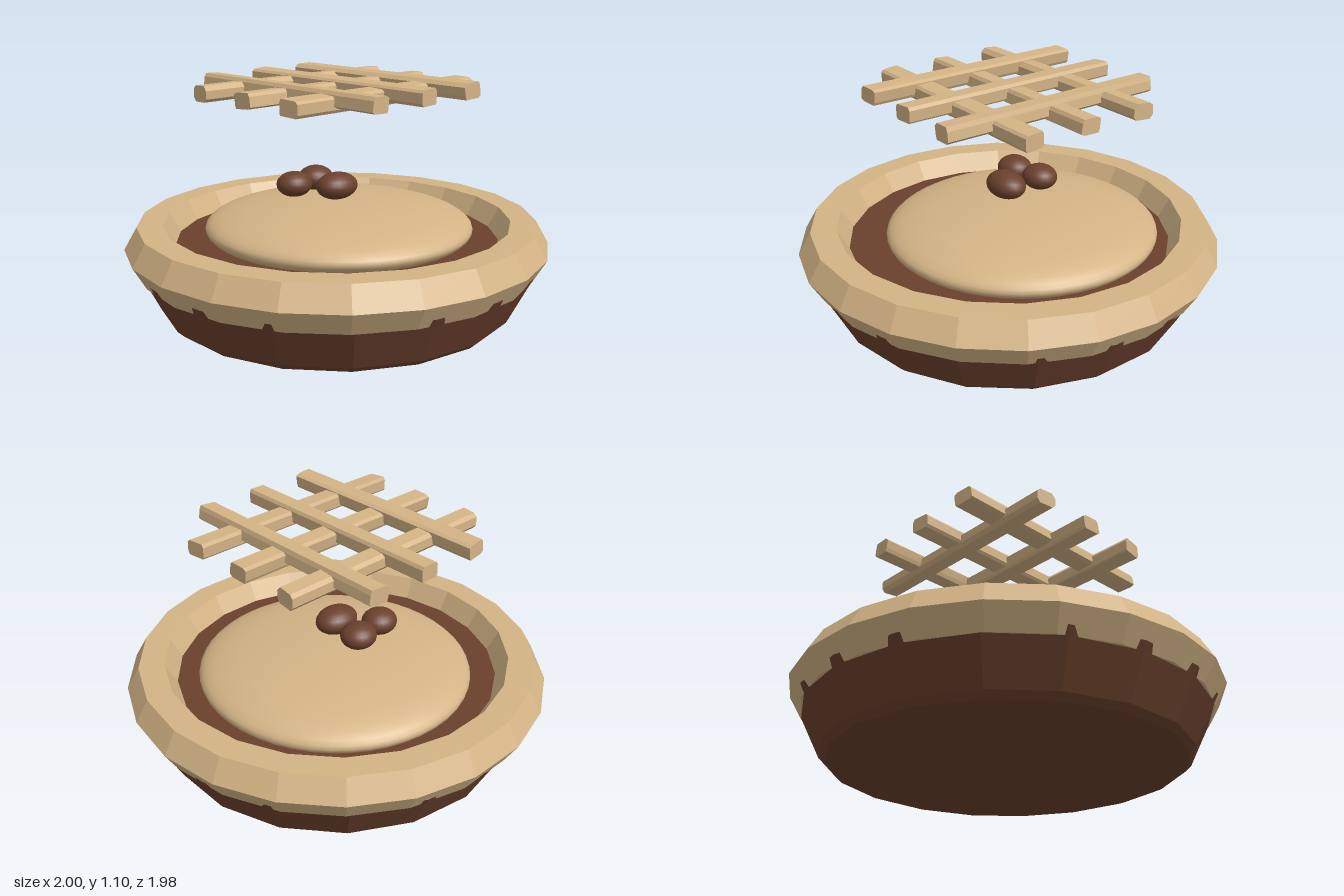
import * as THREE from 'three';

const crust = new THREE.MeshStandardMaterial({ color: 0xd4b486 });
crust.name = 'bakedCrust';
const brown = new THREE.MeshStandardMaterial({ color: 0x6b412d });
brown.name = 'chocolateBrown';

// Split the faces so every facet gets its own flat normal
function faceted(geometry) {
  const g = geometry.index ? geometry.toNonIndexed() : geometry;
  g.computeVertexNormals();
  return g;
}

function addMesh(parent, name, geometry, material) {
  const mesh = new THREE.Mesh(geometry, material);
  mesh.name = name;
  parent.add(mesh);
  return mesh;
}

function addEllipsoid(parent, name, material, centre, half, segments) {
  const geometry = new THREE.SphereGeometry(1, segments, segments / 2);
  const mesh = addMesh(parent, name, geometry, material);
  mesh.position.set(...centre);
  mesh.scale.set(...half);
  return mesh;
}

// Hand-rolled dough strip along z: a chamfered bar, unevenly cut and gently twisted
function stripGeometry(seed, length = 1.115, w = 0.05, h = 0.036) {
  const wobble = (i) => 0.007 * Math.sin(seed * 4.7 + i * 2.3);
  const outline = [
    [-w, -h * 0.6], [-w * 0.75, -h], [w * 0.8, -h], [w, -h * 0.65],
    [w, h * 0.6], [w * 0.75, h], [-w * 0.7, h], [-w, h * 0.55],
  ].map(([x, y], i) => new THREE.Vector2(x + wobble(i) * 0.5, y + wobble(i + 3) * 0.4));
  const g = new THREE.ExtrudeGeometry(new THREE.Shape(outline), {
    depth: length, steps: 6, bevelEnabled: false,
  });
  g.translate(0, 0, -length / 2);
  const p = g.attributes.position;
  for (let i = 0; i < p.count; i++) {
    const x = p.getX(i), y = p.getY(i), z = p.getZ(i);
    const turn = 0.12 * Math.sin(seed * 3.1) * z;
    const endCut = Math.abs(z) > length * 0.49 ? 0.1 * x * Math.sin(seed * 5) : 0;
    p.setXYZ(i, x - y * turn, y + x * turn, z + endCut);
  }
  return faceted(g);
}

export function createModel() {
  const pie = new THREE.Group();
  pie.name = 'pie';

  // Dish with sloping walls and the filling surface on top
  const profile = [
    [0, 0], [0.78, 0], [0.815, 0.012], [0.845, 0.04], [0.94, 0.23],
    [0.957, 0.262], [0.9, 0.3], [0.85, 0.34], [0, 0.34],
  ].map(([r, y]) => new THREE.Vector2(r, y));
  addMesh(pie, 'dishAndFilling', faceted(new THREE.LatheGeometry(profile, 18)), brown);

  // Chunky six-sided crust rim
  const rim = new THREE.TorusGeometry(0.88, 0.12, 6, 22);
  rim.rotateX(-Math.PI / 2);
  addMesh(pie, 'crustRim', faceted(rim), crust).position.y = 0.33;

  // Smooth dome of topping, slightly off centre
  addEllipsoid(pie, 'toppingDome', crust, [0.05, 0.38, -0.04], [0.64, 0.13, 0.65], 48);

  // Three berries floating over the dome
  const berries = new THREE.Group();
  berries.name = 'berries';
  pie.add(berries);
  [
    [[-0.01, 0.59, 0.01], [0.11, 0.064, 0.085]],
    [[-0.143, 0.594, -0.143], [0.088, 0.06, 0.082]],
    [[0.02, 0.595, -0.17], [0.088, 0.06, 0.083]],
  ].forEach(([centre, half]) => addEllipsoid(berries, 'berry', brown, centre, half, 24));

  // Floating lattice: three strips each way, the lengthwise ones resting on top
  const lattice = new THREE.Group();
  lattice.name = 'lattice';
  pie.add(lattice);
  [-0.298, 0, 0.294].forEach((offset, i) => {
    const upper = addMesh(lattice, 'upperStrip', stripGeometry(i + 1), crust);
    upper.position.set(offset, 1.064, 0);
    const lower = addMesh(lattice, 'lowerStrip', stripGeometry(i + 4), crust);
    lower.position.set(0, 1.048, offset);
    lower.rotation.y = Math.PI / 2;
  });

  return pie;
}
